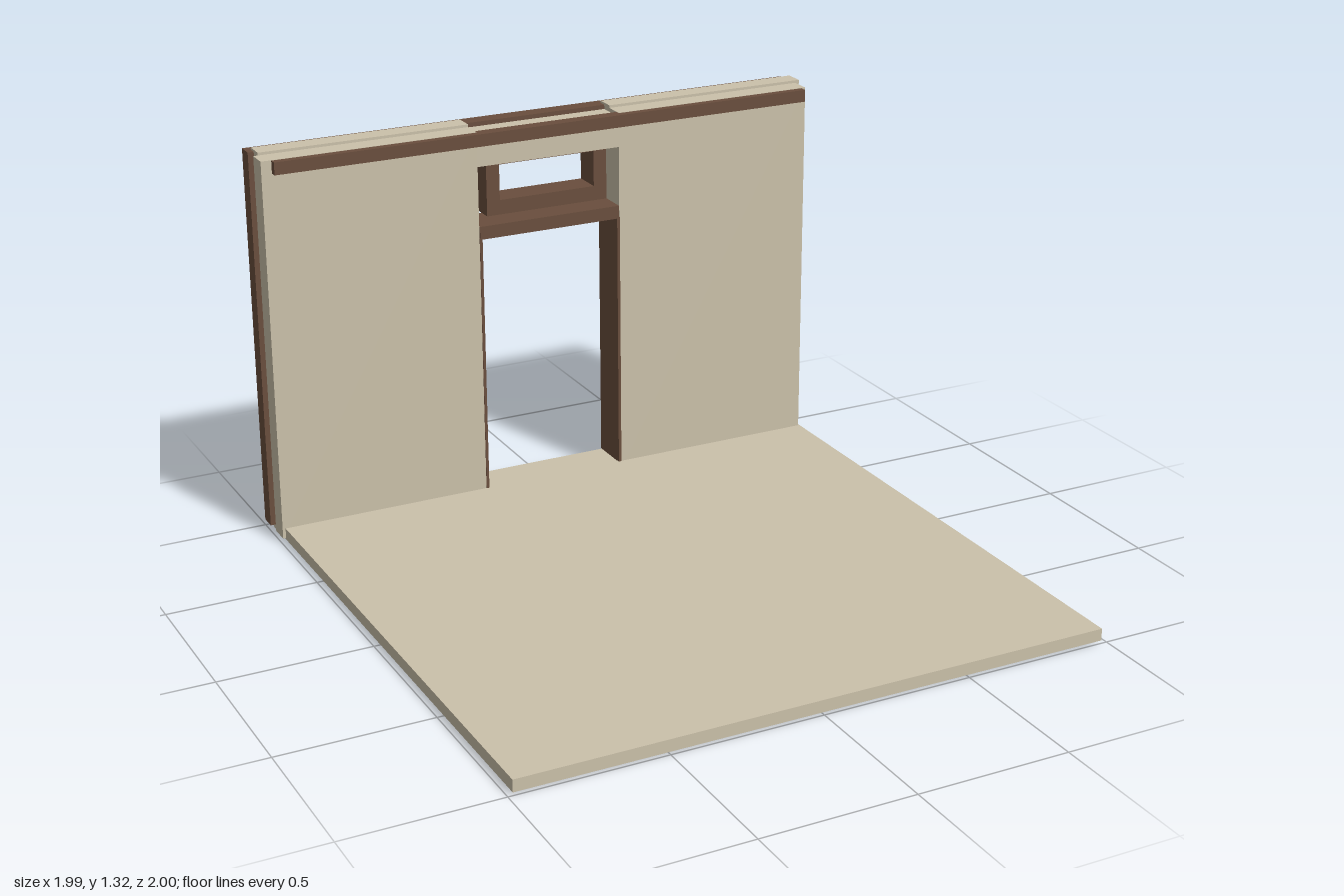
import * as THREE from 'three';

export function createModel() {
  const plaster = new THREE.MeshStandardMaterial({ color: 0xcbc1aa });
  plaster.name = 'plaster';
  const wood = new THREE.MeshStandardMaterial({ color: 0x6a4e3d });
  wood.name = 'darkWood';

  const model = new THREE.Group();
  model.name = 'doorwayWall';

  // Box given by its limits on each axis
  const box = (name, mat, [x0, x1], [y0, y1], [z0, z1], parent = model) => {
    const mesh = new THREE.Mesh(new THREE.BoxGeometry(x1 - x0, y1 - y0, z1 - z0), mat);
    mesh.position.set((x0 + x1) / 2, (y0 + y1) / 2, (z0 + z1) / 2);
    mesh.name = name;
    parent.add(mesh);
  };
  const door = [-0.26, 0.255];
  const front = [-0.905, -0.835];
  const back = [-0.972, -0.905];

  // Floor and threshold
  box('floor', plaster, [-0.985, 0.98], [0.01, 0.05], [-0.845, 1]);
  box('threshold', plaster, door, [0.01, 0.048], [-0.97, -0.845]);

  // Double wall panels, the two layers slightly offset
  box('frontPanelRight', plaster, [-0.995, door[0]], [0.015, 1.313], front);
  box('frontPanelLeft', plaster, [door[1], 0.975], [0.015, 1.313], front);
  box('backPanelRight', plaster, [-0.98, door[0]], [0, 1.322], back);
  box('backPanelLeft', plaster, [door[1], 0.99], [0, 1.322], back);
  box('frontHeader', plaster, door, [1.195, 1.3], front);
  box('backHeader', plaster, door, [1.2, 1.3], back);

  // Rail along the top of the inner face
  box('topRail', wood, [-0.96, 0.96], [1.27, 1.312], [-0.853, -0.81]);

  // Door frame
  box('doorJambRight', wood, [-0.26, -0.25], [0.048, 0.95], [-0.975, -0.833]);
  box('doorJambLeft', wood, [0.246, 0.256], [0.048, 0.95], [-0.975, -0.833]);
  box('doorLintel', wood, [-0.258, 0.253], [0.945, 0.99], [-0.975, -0.833]);

  // Transom window frame with open gaps at its sides
  const transom = new THREE.Group();
  transom.name = 'transomFrame';
  model.add(transom);
  const depth = [-0.955, -0.855];
  box('transomSill', wood, [-0.222, 0.217], [1.015, 1.065], depth, transom);
  box('transomHead', wood, [-0.222, 0.217], [1.187, 1.195], depth, transom);
  box('transomSideRight', wood, [-0.222, -0.175], [1.065, 1.187], depth, transom);
  box('transomSideLeft', wood, [0.17, 0.217], [1.065, 1.187], depth, transom);

  // Stepped lattice on the outer face; rows run from outer edge to doorway
  const lattice = new THREE.Group();
  lattice.name = 'lattice';
  model.add(lattice);
  const rows = [
    '##....##',
    '#..##.##',
    '#..####.',
    '#..##.#.',
    '####..#.',
    '##..####',
    '########',
    '##....##',
    '#..##.##',
    '#..####.',
    '#..##.#.',
    '####..##',
    '#...#...',
  ];
  const latticeZ = [-1, -0.944];
  box('latticeTopRail', wood, [-1, 0.972], [1.25, 1.315], latticeZ, lattice);
  const rowHeight = (1.25 - 0.02) / rows.length;
  for (const [outer, inner] of [[0.972, 0.262], [-1, -0.268]]) {
    const cell = (inner - outer) / 8;
    rows.forEach((row, r) => {
      const top = 1.25 - r * rowHeight;
      for (const run of row.matchAll(/#+/g)) {
        const a = outer + run.index * cell;
        const b = a + run[0].length * cell;
        box('latticeBar', wood, [Math.min(a, b), Math.max(a, b)], [top - rowHeight, top], latticeZ, lattice);
      }
    });
  }
  return model;
}
